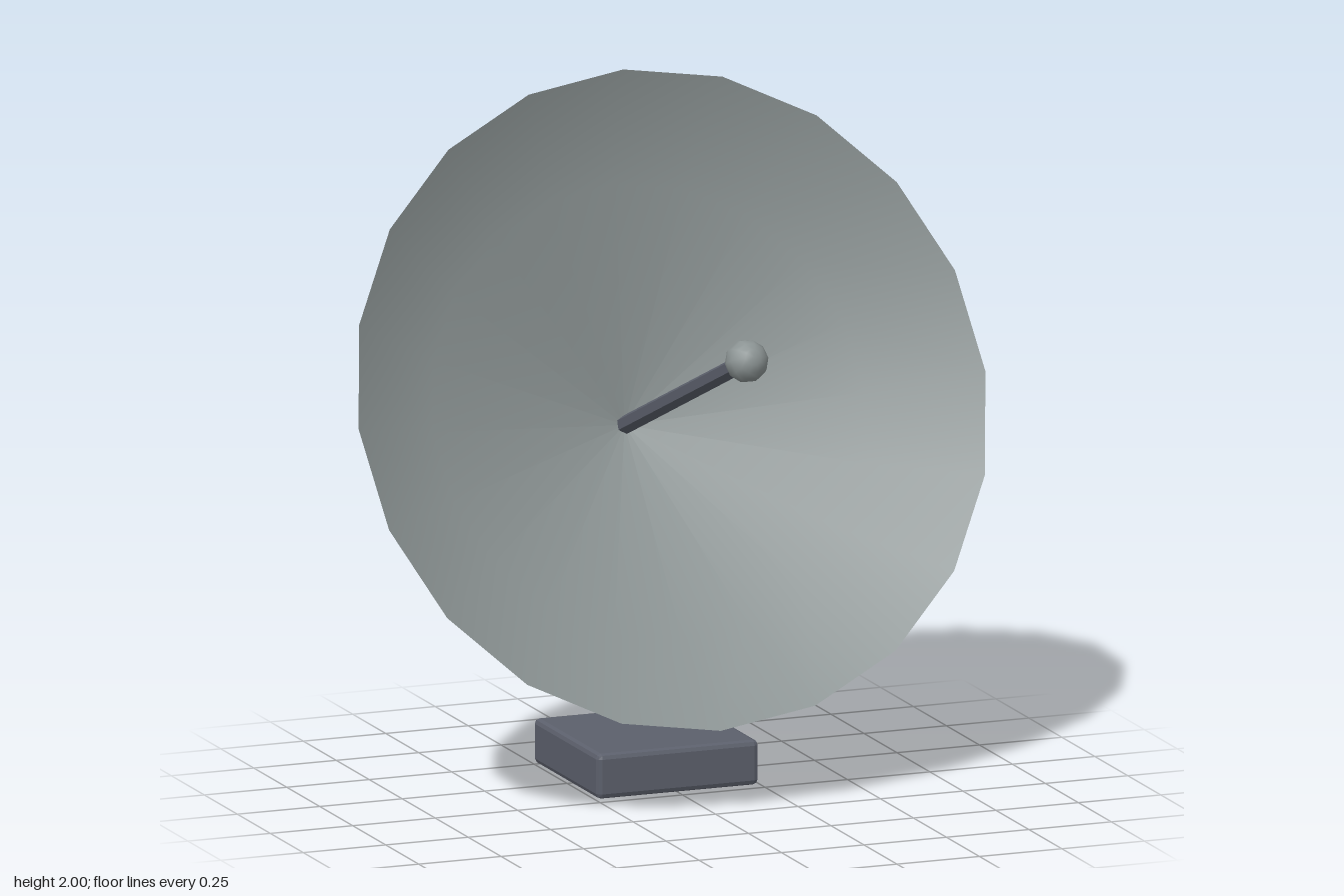
import * as THREE from 'three';
import { RoundedBoxGeometry } from 'three/addons/geometries/RoundedBoxGeometry.js';

const dishMat = new THREE.MeshStandardMaterial({ color: 0x8c9494, side: THREE.DoubleSide });
const metalMat = new THREE.MeshStandardMaterial({ color: 0x5c606c, flatShading: true });

function addPart(parent, name, geometry, material, x, y, z) {
  const mesh = new THREE.Mesh(geometry, material);
  mesh.name = name;
  mesh.position.set(x, y, z);
  parent.add(mesh);
  return mesh;
}

export function createModel() {
  const model = new THREE.Group();
  model.name = 'satelliteDish';

  // Square foot with chamfered edges
  addPart(model, 'base', new RoundedBoxGeometry(0.49, 0.13, 0.49, 1, 0.015), metalMat, 0, 0.065, -0.275);

  // Six-sided pole leaning back
  const pole = addPart(model, 'pole', new THREE.CylinderGeometry(0.049, 0.049, 0.673, 6), metalMat, 0, 0.563, -0.358);
  pole.rotation.x = -0.235;

  // Tilted head: local y runs along the dish axis, origin at the rim centre
  const head = new THREE.Group();
  head.name = 'dishHead';
  head.position.set(0, 1.125, -0.08);
  head.rotation.x = Math.PI / 2 - 0.4;
  model.add(head);

  // Shallow open bowl
  const profile = [[0, -0.39], [0.655, -0.19], [0.95, 0]].map(([r, h]) => new THREE.Vector2(r, h));
  addPart(head, 'dish', new THREE.LatheGeometry(profile, 20), dishMat, 0, 0, 0);

  // Feed arm and receiver ball
  addPart(head, 'feedArm', new THREE.CylinderGeometry(0.027, 0.027, 0.99, 6), metalMat, 0, 0.105, 0);
  addPart(head, 'receiver', new THREE.SphereGeometry(0.062, 10, 8), dishMat, 0, 0.614, 0);

  return model;
}
